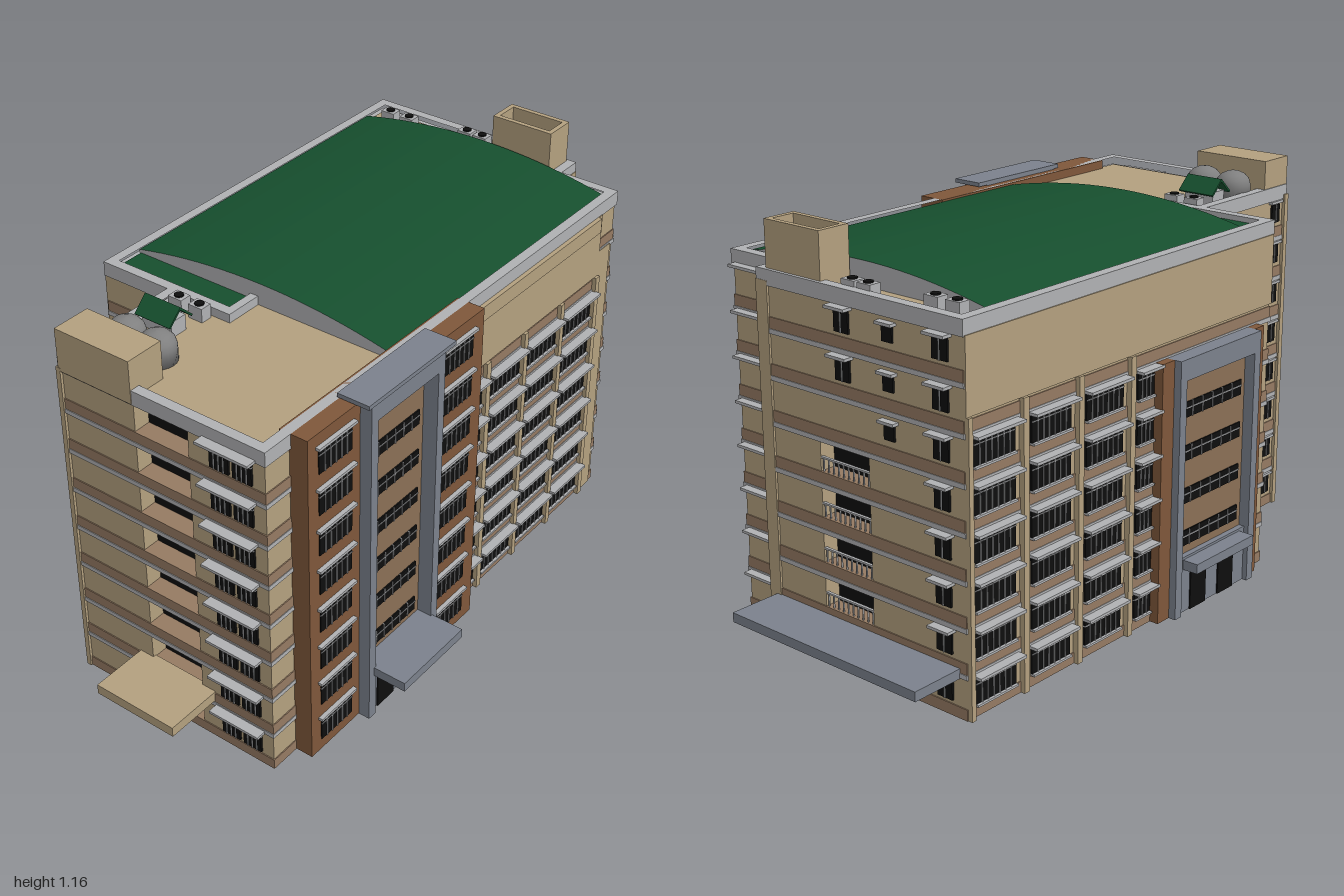
import * as THREE from 'three';

const mat = (color) => new THREE.MeshStandardMaterial({ color });
const TAN = mat(0xb3a07f), BAND = mat(0x957a62), PALE = mat(0xb0b1b3), DARK = mat(0x0e0e0e),
  BROWN = mat(0x7f573a), STEEL = mat(0x7b818c), GREEN = mat(0x164f2e), BAY = mat(0x8a6f55), TANK = mat(0x808080);
const FLOOR = 0.125;

// Box given by its limits on each axis
function box(parent, name, m, x0, x1, y0, y1, z0, z1) {
  const b = new THREE.Mesh(new THREE.BoxGeometry(x1 - x0, y1 - y0, z1 - z0), m);
  b.position.set((x0 + x1) / 2, (y0 + y1) / 2, (z0 + z1) / 2);
  b.name = name;
  parent.add(b);
  return b;
}

// Building footprint as x, z corners
const footprint = [[-0.5, -0.84], [0.2, -0.84], [0.2, -0.76], [0.39, -0.76],
  [0.39, 0.83], [-0.27, 0.83], [-0.27, 0.42], [-0.5, 0.42]];
// The same with notches for the back and front balconies
const notched = [[-0.5, -0.84], [-0.18, -0.84], [-0.18, -0.79], [-0.005, -0.79], [-0.005, -0.84],
  ...footprint.slice(1, 5), [0.15, 0.83], [0.15, 0.77], [-0.025, 0.77], [-0.025, 0.83], ...footprint.slice(5)];

// Push every edge of a right-angled outline outwards by d
function offset(points, d) {
  const n = points.length;
  const normal = (a, b) => [Math.sign(b[1] - a[1]), -Math.sign(b[0] - a[0])];
  return points.map((p, i) => {
    const a = normal(points[(i + n - 1) % n], p), b = normal(p, points[(i + 1) % n]);
    return new THREE.Vector2(p[0] + d * (a[0] + b[0]), -(p[1] + d * (a[1] + b[1])));
  });
}

function slab(parent, name, m, points, y0, y1, d = 0, inner = null) {
  const shape = new THREE.Shape(offset(points, d));
  if (inner !== null) shape.holes.push(new THREE.Path(offset(points, inner)));
  const geo = new THREE.ExtrudeGeometry(shape, { depth: y1 - y0, bevelEnabled: false });
  geo.rotateX(-Math.PI / 2).translate(0, y0, 0);
  const mesh = new THREE.Mesh(geo, m);
  mesh.name = name;
  parent.add(mesh);
}

// Wall frame: local x runs along the wall, local z points out of it
function wall(parent, name, turn, x, z) {
  const g = new THREE.Group();
  g.name = name;
  g.rotation.y = turn;
  g.position.set(x, 0, z);
  parent.add(g);
  return g;
}

// Dark glazing with pale bars and a hood above
function windowUnit(w, u0, u1, y0, y1, bars, hood = 0.03, out = 0.006) {
  box(w, 'glass', DARK, u0, u1, y0, y1, -0.01, out);
  for (let i = 1; i <= bars; i++) {
    const u = u0 + (u1 - u0) * i / (bars + 1);
    box(w, 'windowBar', PALE, u - 0.0015, u + 0.0015, y0, y1, 0, out + 0.003);
  }
  if (bars > 1) box(w, 'transom', PALE, u0, u1, y1 - 0.018, y1 - 0.015, 0, out + 0.002);
  if (hood) box(w, 'windowHood', PALE, u0 - 0.01, u1 + 0.01, y1 + 0.004, y1 + 0.012, 0, hood);
}

// Window grid between plain pillars; bays are [start, end] along the wall
function windowGrid(w, bays, pillars) {
  for (let k = 0; k < 6; k++) {
    const y = k * FLOOR;
    for (const [a, b] of bays) {
      windowUnit(w, a, b, y + 0.036, y + 0.107, Math.max(2, Math.round((b - a) / 0.025)), 0.033);
      box(w, 'windowSill', PALE, a, b, y + 0.03, y + 0.036, 0, 0.014);
    }
  }
  for (const [a, b] of pillars) box(w, 'pillar', TAN, a, b, 0, 0.79, -0.01, 0.016);
}

// Entrance bay: posts, head, strip windows, doors and canopy
function entrance(w, u0, u1, height, floors, back, front, canopyOut, canopyY) {
  const t = 0.028;
  box(w, 'bayWall', BAY, u0, u1, 0, height - 0.02, -0.02, back);
  for (const u of [u0, u1 - t]) box(w, 'bayPost', STEEL, u, u + t, 0, height, 0, front);
  box(w, 'bayHead', STEEL, u0, u1, height - 0.06, height, 0, front);
  for (let k = 1; k < floors; k++) {
    const y = k * FLOOR + 0.065;
    windowUnit(w, u0 + t + 0.02, u1 - t - 0.02, y, y + 0.044, 5, 0, back + 0.004);
  }
  box(w, 'porch', STEEL, u0 + t, u1 - t, 0, 0.165, 0, front - 0.015);
  const mid = (u0 + u1) / 2;
  for (const s of [-0.065, 0.065])
    box(w, 'door', DARK, mid + s - 0.036, mid + s + 0.036, 0, 0.11, 0, front - 0.011);
  box(w, 'entranceCanopy', STEEL, mid - 0.134, mid + 0.134, canopyY, canopyY + 0.028, back, canopyOut);
}

export function createModel() {
  const model = new THREE.Group();
  model.name = 'building';

  // Body, floor bands and parapet
  slab(model, 'walls', TAN, notched, 0.002, 0.992);
  for (let k = 0; k < 8; k++) {
    slab(model, 'floorBand', BAND, footprint, k * FLOOR, k * FLOOR + 0.031, 0.003);
    slab(model, 'floorEdge', PALE, footprint, (k + 1) * FLOOR - 0.013, (k + 1) * FLOOR, 0.005);
  }
  slab(model, 'roofDeck', TAN, footprint, 1.0, 1.004, -0.015);
  slab(model, 'parapet', PALE, footprint, 1.0, 1.03, 0.005, -0.025);
  box(model, 'innerParapet', PALE, -0.5, -0.06, 1, 1.03, 0.395, 0.425);
  box(model, 'innerParapetReturn', PALE, -0.085, -0.06, 1, 1.03, 0.31, 0.4);

  // Front wall
  const front = wall(model, 'frontWall', 0, 0, 0.83);
  box(front, 'balconyBack', DARK, -0.025, 0.15, 0.01, 0.99, -0.08, -0.05);
  box(front, 'cornerPier', TAN, -0.28, -0.265, 0, 1, -0.01, 0.008);
  for (let k = 0; k < 8; k++) {
    const y = k * FLOOR;
    for (const u of [0.22, 0.292]) windowUnit(front, u, u + 0.06, y + 0.038, y + 0.108, 3, 0);
    box(front, 'windowHood', PALE, 0.2, 0.365, y + 0.112, y + 0.12, 0, 0.035);
  }
  box(front, 'frontCanopy', TAN, -0.07, 0.195, 0.13, 0.16, -0.01, 0.17);

  // Side of the front wing
  const wing = wall(model, 'wingSideWall', -Math.PI / 2, -0.27, 0);
  for (let k = 0; k < 8; k++)
    for (const u of [0.52, 0.76]) windowUnit(wing, u, u + 0.04, k * FLOOR + 0.045, k * FLOOR + 0.1, 1, 0.012);

  // Right wall: window grid, blank upper storey, brown flanks and entrance bay
  const right = wall(model, 'rightWall', Math.PI / 2, 0.39, 0);
  windowGrid(right, [[0.015, 0.085], [0.12, 0.275], [0.305, 0.465], [0.495, 0.655]],
    [[0.092, 0.112], [0.281, 0.299], [0.471, 0.489], [0.66, 0.68]]);
  box(right, 'upperPanel', TAN, 0, 0.68, 0.79, 0.99, -0.01, 0.008);
  box(right, 'upperBeam', TAN, 0, 0.66, 0.945, 0.99, 0, 0.018);
  box(right, 'endPier', TAN, 0.68, 0.74, 0, 0.87, -0.01, 0.007);
  for (const [a, b] of [[-0.74, -0.53], [-0.23, 0]]) {
    box(right, 'brownPanel', BROWN, a, b, 0, 1.03, -0.03, 0.055);
    const c = (a + b) / 2;
    for (let k = 0; k < 8; k++)
      windowUnit(right, c - 0.065, c + 0.065, k * FLOOR + 0.036, k * FLOOR + 0.108, 5, 0.068, 0.058);
  }
  box(right, 'brownCoping', BROWN, -0.54, -0.22, 0.96, 1.03, -0.03, 0.03);
  entrance(right, -0.535, -0.225, 1.035, 8, 0.045, 0.09, 0.19, 0.143);
  box(right, 'bayRoof', STEEL, -0.555, -0.19, 1.032, 1.044, 0, 0.097);

  // Left wall: window grid and shorter entrance bay
  const left = wall(model, 'leftWall', -Math.PI / 2, -0.5, 0);
  windowGrid(left, [[-0.815, -0.665], [-0.605, -0.455], [-0.395, -0.245], [-0.185, -0.115]],
    [[-0.84, -0.825], [-0.645, -0.625], [-0.435, -0.415], [-0.225, -0.205]]);
  box(left, 'upperPanel', TAN, -0.84, 0.42, 0.79, 0.99, -0.01, 0.008);
  for (const [a, b] of [[-0.11, -0.05], [0.3, 0.355]]) box(left, 'brownPanel', BROWN, a, b, 0, 0.745, 0, 0.03);
  entrance(left, -0.06, 0.31, 0.745, 6, 0.02, 0.052, 0.085, 0.13);

  // Back wall: local x is mirrored
  const back = wall(model, 'backWall', Math.PI, 0, -0.84);
  box(back, 'balconyBack', DARK, 0.005, 0.18, 0.01, 0.7, -0.08, -0.046);
  for (let k = 0; k < 8; k++) {
    const y = k * FLOOR;
    if (k < 1 || k > 4) box(back, 'wallInfill', TAN, 0.004, 0.181, y, y + FLOOR - 0.005, -0.055, 0);
    else {
      box(back, 'handrail', PALE, 0.005, 0.18, y + 0.066, y + 0.071, -0.008, 0);
      for (let i = 0; i < 10; i++)
        box(back, 'baluster', PALE, 0.01 + i * 0.018, 0.013 + i * 0.018, y + 0.03, y + 0.067, -0.006, -0.002);
    }
    windowUnit(back, 0.405, 0.455, y + 0.042, y + 0.1, 1);
    if (k > 4) windowUnit(back, 0.24, 0.275, y + 0.05, y + 0.09, 0, 0.02);
    if (k > 5) windowUnit(back, 0.075, 0.125, y + 0.042, y + 0.1, 1);
    box(back, 'sunshade', PALE, -0.38, -0.21, y + 0.112, y + 0.12, -0.08, -0.05);
  }
  box(back, 'cornerPier', TAN, -0.207, -0.165, 0, 1, -0.07, 0.006);
  box(back, 'backCanopy', STEEL, -0.18, 0.48, 0.11, 0.137, -0.01, 0.16);

  // Arched green roof with pale gable ends
  const arch = new THREE.Shape();
  arch.moveTo(-0.48, 1.0);
  for (let i = 0; i <= 20; i++) {
    const t = i / 10 - 1;
    arch.lineTo(-0.06 + 0.42 * t, 1.07 - 0.046 * t * t);
  }
  arch.lineTo(0.36, 1.0);
  const archRoof = new THREE.Mesh(
    new THREE.ExtrudeGeometry(arch, { depth: 1.04, bevelEnabled: false }).translate(0, 0, -0.73), [PALE, GREEN]);
  archRoof.name = 'archedRoof';
  model.add(archRoof);
  box(model, 'lowerGreenRoof', GREEN, -0.475, -0.085, 1, 1.015, 0.3, 0.395);

  // Stair head, and open-topped shaft at the back
  box(model, 'stairHead', TAN, -0.272, -0.025, 0.99, 1.115, 0.72, 0.837);
  for (const [x0, x1, z0, z1] of [[-0.022, 0.177, -0.835, -0.82], [-0.022, 0.177, -0.75, -0.735],
    [-0.022, -0.007, -0.82, -0.75], [0.162, 0.177, -0.82, -0.75]])
    box(model, 'shaftWall', TAN, x0, x1, 0.99, 1.157, z0, z1);

  // Water tanks with domed tops
  const profile = [[0, 0], [0.052, 0], [0.052, 0.045], [0.047, 0.062], [0.035, 0.075], [0.018, 0.083], [0, 0.085]]
    .map(([r, y]) => new THREE.Vector2(r, y));
  for (const x of [-0.198, -0.094]) {
    const tank = new THREE.Mesh(new THREE.LatheGeometry(profile, 24), TANK);
    tank.position.set(x, 1.003, 0.662);
    tank.name = 'waterTank';
    model.add(tank);
  }

  // Small hut with a pitched green roof
  box(model, 'hut', PALE, -0.23, -0.13, 1, 1.05, 0.515, 0.57);
  for (const s of [-1, 1]) {
    const pitch = box(model, 'hutRoof', GREEN, -0.24, -0.12, 1.061, 1.067, -0.03, 0.03);
    pitch.position.z = 0.543 + s * 0.021;
    pitch.rotation.x = s * 0.75;
  }

  // Rooftop fan units
  for (const [x, z] of [[-0.21, 0.45], [-0.14, 0.45], [-0.155, -0.8], [-0.1, -0.8], [-0.42, -0.77], [-0.35, -0.77]]) {
    box(model, 'fanUnit', PALE, x - 0.023, x + 0.023, 1, 1.045, z - 0.018, z + 0.018);
    const fan = new THREE.Mesh(new THREE.CylinderGeometry(0.013, 0.013, 0.006, 16), DARK);
    fan.position.set(x, 1.046, z);
    fan.name = 'fan';
    model.add(fan);
  }
  return model;
}
